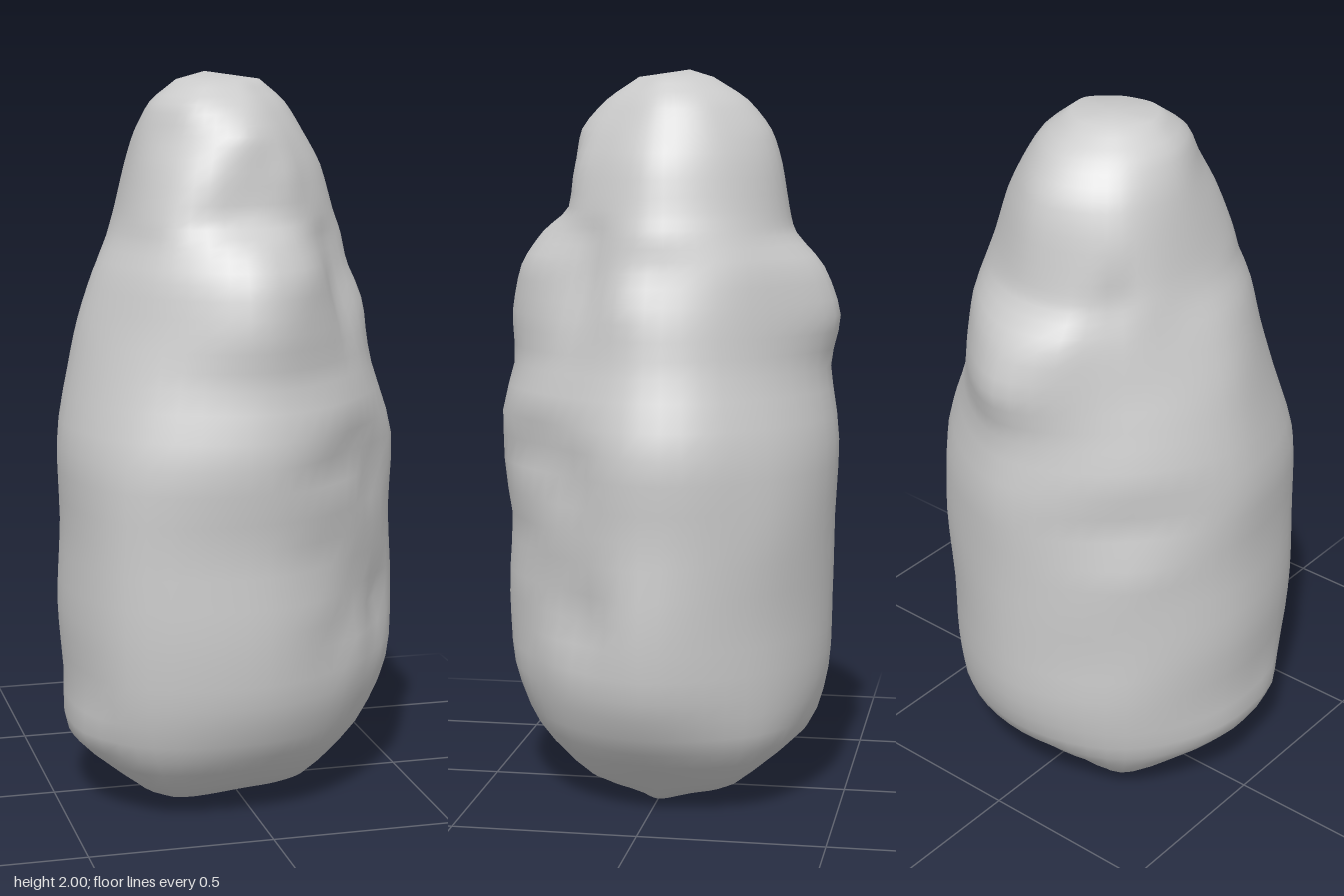
import * as THREE from 'three';

// Rock cross-sections, bottom to top: height, then the radius every 45 degrees from +x round through +z
const ROWS = [
  [0.005, 0.17, 0.1, 0.06, 0.18, 0.21, 0.16, 0.09, 0.12],
  [0.06, 0.24, 0.24, 0.24, 0.34, 0.3, 0.33, 0.22, 0.28],
  [0.19, 0.385, 0.355, 0.375, 0.46, 0.455, 0.43, 0.395, 0.41],
  [0.35, 0.465, 0.405, 0.44, 0.505, 0.465, 0.46, 0.45, 0.44],
  [0.55, 0.48, 0.395, 0.455, 0.52, 0.48, 0.47, 0.46, 0.445],
  [0.78, 0.467, 0.395, 0.447, 0.517, 0.47, 0.46, 0.465, 0.46],
  [1.0, 0.472, 0.41, 0.472, 0.51, 0.478, 0.445, 0.475, 0.45],
  [1.2, 0.41, 0.375, 0.435, 0.45, 0.445, 0.42, 0.45, 0.4],
  [1.34, 0.38, 0.355, 0.44, 0.41, 0.415, 0.385, 0.475, 0.385],
  [1.47, 0.335, 0.32, 0.41, 0.38, 0.37, 0.36, 0.43, 0.365],
  [1.56, 0.32, 0.285, 0.35, 0.345, 0.325, 0.35, 0.35, 0.33],
  [1.63, 0.295, 0.27, 0.275, 0.325, 0.3, 0.335, 0.33, 0.305],
  [1.75, 0.26, 0.235, 0.255, 0.28, 0.27, 0.305, 0.31, 0.27],
  [1.84, 0.21, 0.195, 0.24, 0.235, 0.245, 0.27, 0.28, 0.23],
  [1.92, 0.16, 0.14, 0.17, 0.2, 0.21, 0.21, 0.215, 0.18],
  [1.98, 0.09, 0.07, 0.08, 0.12, 0.14, 0.13, 0.12, 0.1],
];

// Local lumps and hollows: [angle in degrees, height, angular width, height width, amount]
const LUMPS = [
  [60, 1.1, 28, 0.06, 0.02],
  [50, 0.99, 24, 0.05, -0.025],
  [62, 0.88, 20, 0.05, 0.015],
  [28, 0.92, 10, 0.07, -0.02],
  [45, 0.76, 16, 0.05, 0.015],
  [22, 0.55, 10, 0.08, -0.025],
  [62, 0.6, 16, 0.07, 0.012],
  [42, 0.46, 12, 0.08, 0.015],
  [35, 1.42, 12, 0.14, -0.025],
  [10, 1.4, 9, 0.08, 0.015],
  [70, 1.48, 14, 0.08, 0.015],
  [65, 1.72, 14, 0.09, 0.015],
  [115, 1.7, 14, 0.1, 0.015],
  [228, 1.58, 9, 0.08, -0.025],
  [250, 1.46, 10, 0.09, 0.015],
  [225, 1.1, 28, 0.05, 0.015],
  [225, 0.97, 24, 0.05, -0.018],
  [222, 0.82, 16, 0.05, 0.015],
  [235, 0.55, 20, 0.08, -0.01],
  [157, 0.23, 12, 0.08, 0.018],
  [340, 1.0, 12, 0.25, 0.012],
];

const lumpAt = (deg, y) => LUMPS.reduce((sum, [a, ly, wa, wy, amount]) => {
  const da = (((deg - a + 540) % 360) - 180) / wa;
  const dy = (y - ly) / wy;
  return sum + amount * Math.exp(-da * da - dy * dy);
}, 0);

function rockGeometry(sides = 48, steps = 3) {
  // One upright spline per direction
  const ribs = Array.from({ length: 8 }, (_, k) => {
    const a = (k * Math.PI) / 4;
    return new THREE.CatmullRomCurve3(ROWS.map((row) => new THREE.Vector3(
      row[k + 1] * Math.cos(a), row[0], row[k + 1] * Math.sin(a))), false, 'catmullrom', 0.4);
  });
  const count = (ROWS.length - 1) * steps;
  const positions = [];
  const index = [];

  // A closed ring through the ribs at each level
  for (let j = 0; j <= count; j++) {
    const ring = new THREE.CatmullRomCurve3(ribs.map((rib) => rib.getPoint(j / count)), true, 'catmullrom', 0.5);
    for (let i = 0; i < sides; i++) {
      const p = ring.getPoint(i / sides);
      const a = Math.atan2(p.z, p.x);
      const lump = lumpAt((THREE.MathUtils.radToDeg(a) + 360) % 360, p.y);
      positions.push(p.x + lump * Math.cos(a), Math.max(0, p.y), p.z + lump * Math.sin(a));
      if (j < count) {
        const q = j * sides + i;
        const r = j * sides + ((i + 1) % sides);
        index.push(q, q + sides, r, r, q + sides, r + sides);
      }
    }
  }

  // Close the slightly hollow underside and the crown
  const bottom = positions.length / 3;
  positions.push(-0.02, 0.025, -0.02, -0.05, 2, -0.05);
  for (let i = 0; i < sides; i++) {
    const n = (i + 1) % sides;
    index.push(bottom, i, n, bottom + 1, count * sides + n, count * sides + i);
  }

  const geometry = new THREE.BufferGeometry();
  geometry.setAttribute('position', new THREE.Float32BufferAttribute(positions, 3));
  geometry.setIndex(index);
  geometry.computeVertexNormals();
  return geometry;
}

export function createModel() {
  const group = new THREE.Group();
  group.name = 'standingRock';
  const rock = new THREE.Mesh(rockGeometry(), new THREE.MeshStandardMaterial({ color: 0xcccccc }));
  rock.name = 'boulder';
  group.add(rock);
  return group;
}
